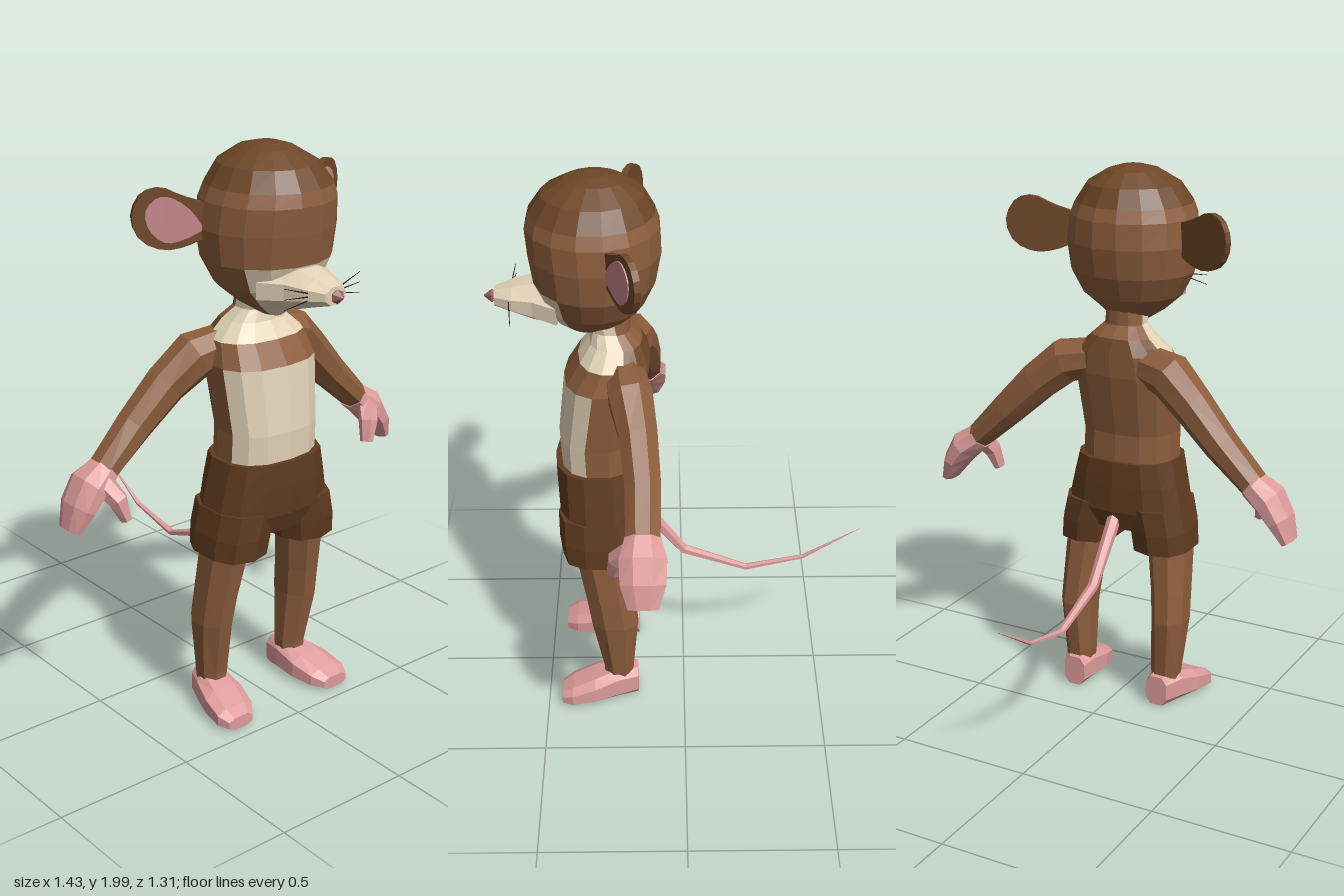
import * as THREE from 'three';

const mat = (name, color, side = THREE.FrontSide) => {
  const m = new THREE.MeshStandardMaterial({ color, side });
  m.name = name;
  return m;
};
const fur = mat('fur', 0x8c5d3c);
const darkFur = mat('dark fur', 0x6e4727);
const shortsBrown = mat('shorts brown', 0x5f3b1f);
const cream = mat('cream', 0xe2d2b7);
const pink = mat('pink skin', 0xdd9c9b);
const earPink = mat('ear pink', 0xc4868a);
const noseColor = mat('nose', 0x96605c);
const black = mat('whisker black', 0x1c1614);

const V = (x, y, z) => new THREE.Vector3(x, y, z);
const X = V(1, 0, 0), Y = V(0, 1, 0), Z = V(0, 0, 1);

// Flat-faced skin through rings [x, y, z, half width, half depth].
// ref: direction of the half width; dir: fixed ring normal, else follows the path.
// pick(centre): index into the materials for each face; square < 1 gives boxier rings.
function loft(rings, { sides = 8, ref = X, dir = null, pick = () => 0, square = 1 } = {}) {
  const centres = rings.map(r => V(r[0], r[1], r[2]));
  const last = rings.length - 1;
  const bend = v => Math.sign(v) * Math.abs(v) ** square;
  const pts = rings.map((r, i) => {
    const t = dir ? dir.clone()
      : centres[Math.min(i + 1, last)].clone().sub(centres[Math.max(i - 1, 0)]).normalize();
    const u = ref.clone().addScaledVector(t, -ref.dot(t)).normalize();
    const v = t.clone().cross(u);
    return Array.from({ length: sides }, (_, j) => {
      const a = (j + 0.5) / sides * Math.PI * 2;
      return centres[i].clone()
        .addScaledVector(u, r[3] * bend(Math.cos(a)))
        .addScaledVector(v, r[4] * bend(Math.sin(a)));
    });
  });
  const buckets = [];
  const face = (...p) => {
    const c = p.reduce((s, q) => s.add(q), V(0, 0, 0)).divideScalar(p.length);
    const b = buckets[pick(c)] ??= [];
    for (let k = 1; k < p.length - 1; k++)
      for (const q of [p[0], p[k], p[k + 1]]) b.push(q.x, q.y, q.z);
  };
  for (let j = 0; j < sides; j++) {
    const n = (j + 1) % sides;
    for (let i = 0; i < last; i++) face(pts[i][j], pts[i][n], pts[i + 1][n], pts[i + 1][j]);
    face(centres[0], pts[0][n], pts[0][j]);
    face(centres[last], pts[last][j], pts[last][n]);
  }
  const geo = new THREE.BufferGeometry();
  const all = [];
  buckets.forEach((b, k) => {
    geo.addGroup(all.length / 3, b.length / 3, k);
    for (const n of b) all.push(n);
  });
  geo.setAttribute('position', new THREE.Float32BufferAttribute(all, 3));
  geo.computeVertexNormals();
  return geo;
}

// Mirror across x = 0 and keep faces pointing outward
function mirrored(source) {
  const geo = source.index ? source.toNonIndexed() : source.clone();
  const p = geo.attributes.position;
  for (let i = 0; i < p.count; i += 3) {
    const t = [0, 2, 1].map(k => [-p.getX(i + k), p.getY(i + k), p.getZ(i + k)]);
    t.forEach((q, k) => p.setXYZ(i + k, ...q));
  }
  geo.computeVertexNormals();
  return geo;
}

export function createModel() {
  const model = new THREE.Group();
  model.name = 'mouse';
  const add = (name, geo, material) => {
    const m = new THREE.Mesh(geo, material);
    m.name = name;
    model.add(m);
  };
  const pair = (name, geo, material) => {
    add('left ' + name, geo, material);
    add('right ' + name, mirrored(geo), material);
  };
  // Level ring from height, back z, front z and half width
  const level = ([y, back, front, w]) => [0, y, (back + front) / 2, w, (front - back) / 2];

  // Head with dark crown and pale muzzle area
  add('head', loft([
    [1.44, 0.27, 0.37, 0.03], [1.49, 0.19, 0.43, 0.11], [1.55, 0.13, 0.47, 0.18],
    [1.635, 0.09, 0.50, 0.225], [1.74, 0.07, 0.515, 0.237], [1.83, 0.075, 0.522, 0.228],
    [1.875, 0.09, 0.51, 0.21], [1.94, 0.125, 0.465, 0.165], [1.985, 0.19, 0.39, 0.09], [2, 0.25, 0.33, 0.04],
  ].map(level), {
    sides: 16, dir: Y,
    pick: c => c.y > 1.875 ? 1 : c.y < 1.63 && c.z > 0.36 && Math.abs(c.x) < 0.15 ? 2 : 0,
  }), [fur, darkFur, cream]);

  // Muzzle, nose and whiskers
  add('muzzle', loft([
    [0, 1.56, 0.42, 0.16, 0.075], [0, 1.565, 0.50, 0.11, 0.07],
    [0, 1.568, 0.57, 0.085, 0.05], [0, 1.567, 0.63, 0.045, 0.032],
  ], { dir: Z }), cream);
  add('nose', loft([
    [0, 1.567, 0.625, 0.014, 0.014], [0, 1.567, 0.64, 0.027, 0.024], [0, 1.567, 0.666, 0.002, 0.002],
  ], { sides: 6, dir: Z }), noseColor);
  for (const [i, rise] of [-0.035, 0, 0.035].entries()) {
    pair('whisker ' + (i + 1), loft([
      [0.065, 1.565 + rise * 0.3, 0.58, 0.003, 0.003], [0.16, 1.57 + rise, 0.57, 0.001, 0.001],
    ], { sides: 3, ref: Z }), black);
  }

  // Ears: thin rounded plates swept back, with a pink inner face
  const earPlate = (points, depth, z) => {
    const shape = new THREE.Shape(new THREE.SplineCurve(points.map(p => new THREE.Vector2(...p))).getPoints(20));
    return new THREE.ExtrudeGeometry(shape, { depth, bevelEnabled: false })
      .translate(0, 0, z).rotateY(0.42).translate(0.2, 1.78, 0.25);
  };
  pair('ear', earPlate([[0, -0.06], [0.07, -0.09], [0.15, -0.1], [0.225, -0.065], [0.255, 0.01],
    [0.225, 0.08], [0.16, 0.1], [0.09, 0.07], [0, 0.03], [0, -0.06]], 0.022, -0.011), darkFur);
  pair('inner ear', earPlate([[0.02, -0.04], [0.09, -0.07], [0.15, -0.075], [0.2, -0.03], [0.21, 0.03],
    [0.17, 0.07], [0.12, 0.065], [0.06, 0.02], [0.02, -0.04]], 0.005, 0.0105), earPink);

  // Torso and neck with cream belly and throat
  add('torso', loft([
    [0.90, 0.16, 0.43, 0.18], [1.05, 0.165, 0.435, 0.178], [1.275, 0.12, 0.41, 0.195],
    [1.355, 0.115, 0.36, 0.175], [1.41, 0.14, 0.32, 0.115], [1.45, 0.18, 0.31, 0.075], [1.52, 0.18, 0.35, 0.07],
  ].map(level), {
    sides: 14, dir: Y, square: 0.8,
    pick: c => {
      if (c.y < 1.27) return c.z > 0.31 ? 1 : 0;
      if (c.y > 1.36) return c.z > 0.23 ? 1 : c.y < 1.42 ? 2 : 0;
      return 0;
    },
  }), [fur, cream, darkFur]);

  // Arms and hands
  pair('arm', loft([
    [0.10, 1.32, 0.2, 0.07, 0.07], [0.21, 1.295, 0.18, 0.08, 0.085], [0.31, 1.21, 0.155, 0.07, 0.075],
    [0.43, 1.09, 0.14, 0.065, 0.064], [0.56, 0.965, 0.14, 0.062, 0.05],
  ], { ref: Z }), fur);
  pair('hand', loft([
    [0.55, 0.97, 0.14, 0.062, 0.052], [0.615, 0.925, 0.14, 0.085, 0.058],
    [0.66, 0.86, 0.14, 0.082, 0.045], [0.695, 0.785, 0.14, 0.055, 0.022],
  ], { ref: Z }), pink);
  pair('thumb', loft([
    [0.59, 0.94, 0.18, 0.035, 0.04], [0.56, 0.885, 0.225, 0.035, 0.035], [0.54, 0.815, 0.24, 0.025, 0.02],
  ], { sides: 6, ref: Z }), pink);

  // Shorts
  add('shorts', loft([
    [0.69, 0.16, 0.42, 0.20], [0.76, 0.14, 0.445, 0.235], [0.86, 0.14, 0.45, 0.213], [0.95, 0.145, 0.45, 0.192],
  ].map(level), { sides: 14, dir: Y, square: 0.75 }), shortsBrown);
  pair('shorts leg', loft([
    [0.15, 0.615, 0.288, 0.11, 0.142], [0.142, 0.69, 0.29, 0.112, 0.15], [0.12, 0.78, 0.292, 0.115, 0.15],
  ], { sides: 10, dir: Y, square: 0.8 }), shortsBrown);

  // Legs and feet
  pair('leg', loft([
    [0.182, 0.08, 0.24, 0.052, 0.055], [0.182, 0.14, 0.24, 0.058, 0.058], [0.192, 0.34, 0.25, 0.068, 0.088],
    [0.185, 0.45, 0.265, 0.072, 0.09], [0.165, 0.66, 0.295, 0.085, 0.1],
  ], { dir: Y }), fur);
  pair('foot', loft([
    [0.175, 0.065, 0.17, 0.045, 0.06], [0.185, 0.069, 0.24, 0.068, 0.065],
    [0.2, 0.055, 0.33, 0.085, 0.051], [0.215, 0.04, 0.41, 0.08, 0.036], [0.22, 0.03, 0.45, 0.055, 0.024],
  ], { dir: Z, square: 0.7 }), pink);

  // Tail, tapering to a point
  add('tail', loft([
    [0, 0.74, 0.17, 0.026, 0.026], [0, 0.52, 0, 0.02, 0.018], [0, 0.435, -0.23, 0.014, 0.011],
    [0, 0.48, -0.44, 0.009, 0.007], [0, 0.605, -0.645, 0.001, 0.001],
  ], { sides: 6 }), pink);

  return model;
}
